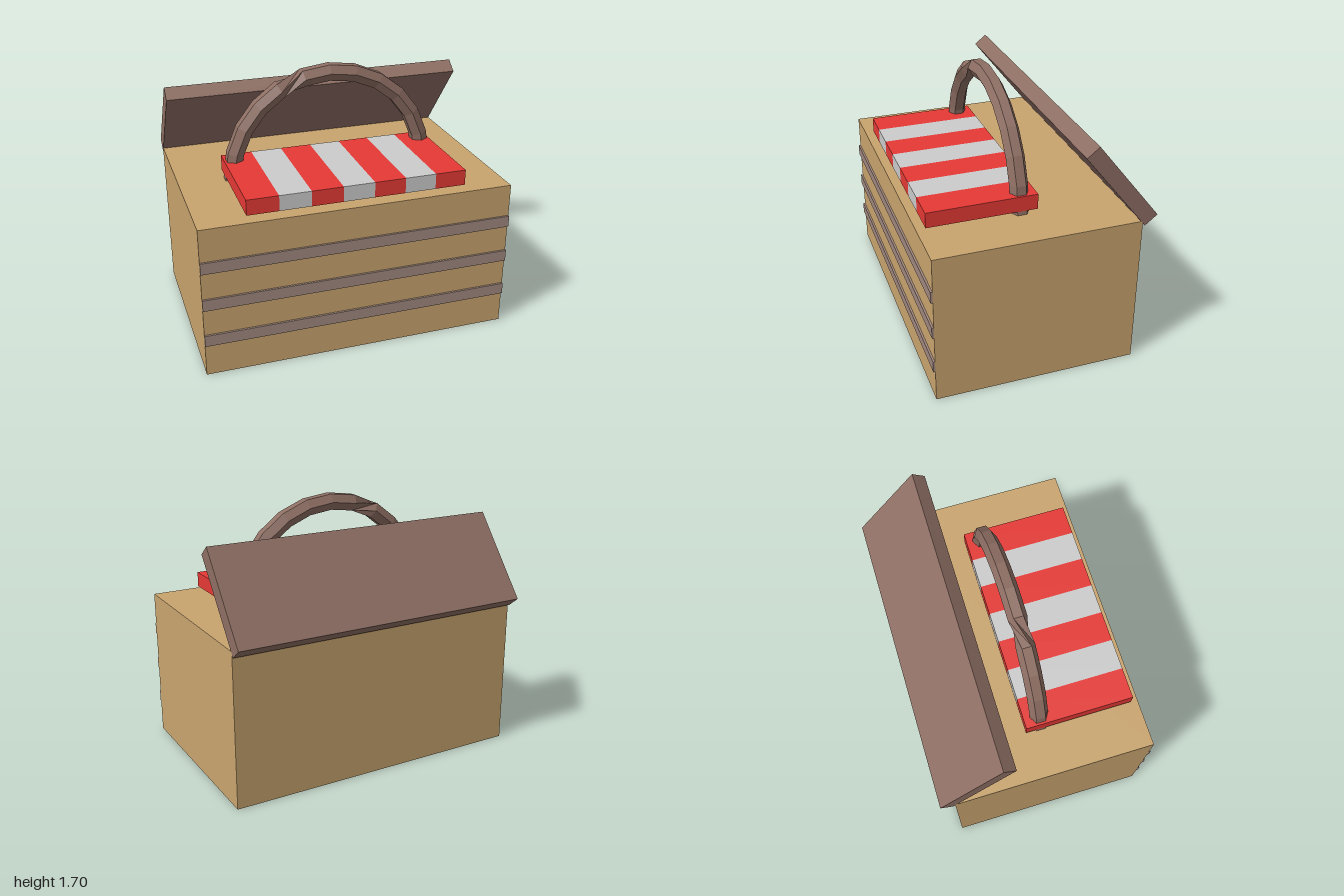
import * as THREE from 'three';

const mat = (color) => new THREE.MeshStandardMaterial({ color, flatShading: true });
const TAN = mat(0xc8a46e), BROWN = mat(0x8d6e63), SLAT = mat(0xa1887f);
const RED = mat(0xe53935), PALE = mat(0xcccccc);

function box(name, material, size, position) {
  const mesh = new THREE.Mesh(new THREE.BoxGeometry(...size), material);
  mesh.name = name;
  mesh.position.set(...position);
  return mesh;
}

// Six-sided half-ring handle with one twisted segment
function handleGeometry(radius, tube, segments, sides, twistAfter) {
  const pos = [], index = [];
  for (let i = 0; i <= segments; i++) {
    const a = (i / segments) * Math.PI;
    const twist = i > twistAfter ? (Math.PI * 2) / 3 : 0;
    for (let j = 0; j < sides; j++) {
      const b = ((j + 0.5) / sides) * Math.PI * 2 + twist;
      const r = radius + tube * Math.cos(b);
      pos.push(r * Math.cos(a), r * Math.sin(a), tube * Math.sin(b));
      if (i === segments) continue;
      const k = (j + 1) % sides;
      const p = i * sides + j, q = i * sides + k;
      index.push(p, p + sides, q, q, p + sides, q + sides);
    }
  }
  const geo = new THREE.BufferGeometry();
  geo.setAttribute('position', new THREE.Float32BufferAttribute(pos, 3));
  geo.setIndex(index);
  geo.computeVertexNormals();
  return geo;
}

export function createModel() {
  const group = new THREE.Group();
  group.name = 'picnicBasket';

  // Basket body and front slats
  group.add(box('body', TAN, [2, 1, 1.3], [0, 0.5, 0.04]));
  for (const y of [0.25, 0.5, 0.75]) {
    group.add(box('slat', SLAT, [2, 0.075, 0.02], [0, y, 0.693]));
  }

  // Open lid, leaning back from the rear edge
  const lid = box('lid', BROWN, [2, 0.1, 0.65], [0, 1.253, -0.462]);
  lid.rotation.x = -Math.atan2(0.505, 0.4);
  lid.rotation.x *= -1;
  lid.rotation.x = -0.9;
  group.add(lid);

  // Striped cloth
  const cloth = new THREE.Group();
  cloth.name = 'cloth';
  for (let i = 0; i < 7; i++) {
    cloth.add(box('stripe', i % 2 ? PALE : RED, [0.2, 0.1, 0.7], [-0.6 + i * 0.2, 1.075, 0.29]));
  }
  group.add(cloth);

  // Arched handle
  const handleMat = BROWN.clone();
  handleMat.side = THREE.DoubleSide;
  const handle = new THREE.Mesh(handleGeometry(0.65, 0.06, 12, 6, 7), handleMat);
  handle.name = 'handle';
  handle.position.set(0, 1, 0.04);
  group.add(handle);

  return group;
}
